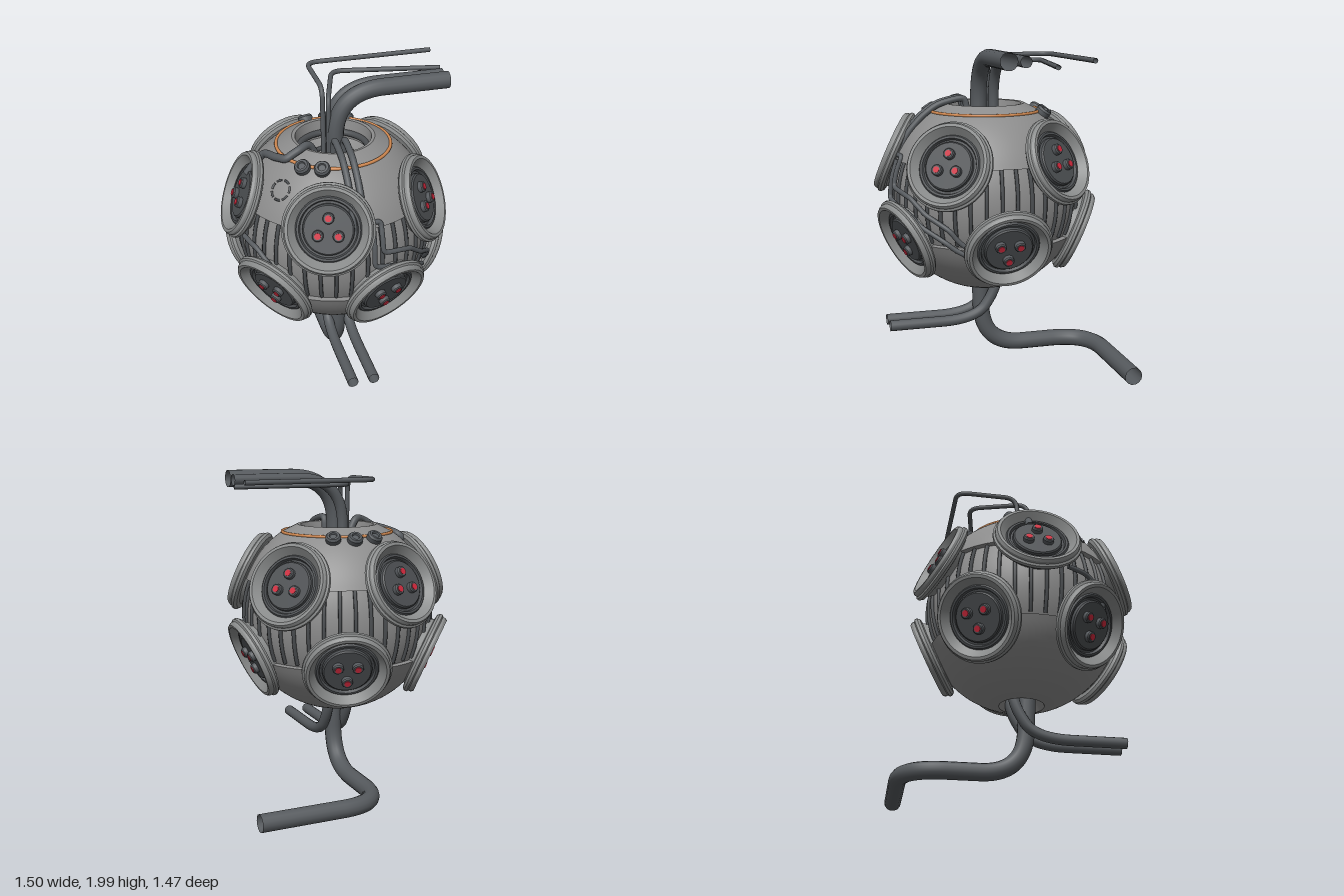
import * as THREE from 'three';
import { toCreasedNormals } from 'three/addons/utils/BufferGeometryUtils.js';

const V = (x, y, z) => new THREE.Vector3(x, y, z);
const C = V(-0.05, 1.09, 0.04); // centre of the sphere
const R = 0.622;

export function createModel() {
  const model = new THREE.Group();
  model.name = 'cableSphere';
  const mat = (name, color, side = THREE.FrontSide) => {
    const m = new THREE.MeshStandardMaterial({ color, side });
    m.name = name;
    return m;
  };
  const shell = mat('shell grey', 0x8c8c8c, THREE.DoubleSide);
  const rimGrey = mat('rim grey', 0x8a8c8c);
  const pipe = mat('pipe grey', 0x565a5e, THREE.DoubleSide);
  const dark = mat('dark grey', 0x4c4f52);
  const red = mat('red', 0xd0283c);
  const orange = mat('orange', 0xd08850);

  const add = (name, geo, material, parent = model) => {
    const m = new THREE.Mesh(geo, material);
    m.name = name;
    parent.add(m);
    return m;
  };
  const lathe = (pts, seg = 64) => toCreasedNormals(
    new THREE.LatheGeometry(pts.map(p => new THREE.Vector2(p[0], p[1])), seg), 0.5);

  // Tube through corner points with rounded bends
  const tube = (name, pts, r, bend, segs = 90, parent = model) => {
    const path = new THREE.CurvePath();
    let from = pts[0];
    const line = to => { if (from.distanceTo(to) > 1e-4) path.add(new THREE.LineCurve3(from, to)); };
    for (let i = 1; i < pts.length - 1; i++) {
      const p = pts[i];
      const cut = q => {
        const d = p.distanceTo(q);
        return p.clone().lerp(q, Math.min(bend, d * 0.49) / d);
      };
      const a = cut(pts[i - 1]), b = cut(pts[i + 1]);
      line(a);
      path.add(new THREE.QuadraticBezierCurve3(a, p, b));
      from = b;
    }
    line(pts[pts.length - 1]);
    return add(name, new THREE.TubeGeometry(path, segs, r, 14), pipe, parent);
  };

  // Points lying on the sphere, seen from the front (x, y) or from the top (x, z)
  const onFront = (x, y, r = R) => V(x, y,
    C.z + Math.sqrt(Math.max(0, r * r - (x - C.x) ** 2 - (y - C.y) ** 2)));
  const onTop = (x, z, r = R) => V(x,
    C.y + Math.sqrt(Math.max(0, r * r - (x - C.x) ** 2 - (z - C.z) ** 2)), z);
  const surfacePath = (pts, project) => {
    const out = [];
    pts.forEach((p, i) => {
      if (i) out.push(project((p[0] + pts[i - 1][0]) / 2, (p[1] + pts[i - 1][1]) / 2));
      out.push(project(p[0], p[1]));
    });
    return out;
  };

  // Shell: lower cap, recessed band, upper cap and the bowl in the top
  const arc = (r, y0, y1, n) => Array.from({ length: n + 1 }, (_, i) => {
    const a = THREE.MathUtils.lerp(Math.asin(y0 / r), Math.asin(y1 / r), i / n);
    return [r * Math.cos(a), r * Math.sin(a)];
  });
  const body = add('shell', lathe([
    [0.10, -0.54], [0.14, -0.607],
    ...arc(R, -0.606, -0.25, 14),
    ...arc(0.592, -0.245, 0.225, 14),
    ...arc(R, 0.23, 0.515, 12),
    [0.25, 0.565], [0.23, 0.562], [0.21, 0.45], [0.17, 0.42], [0.10, 0.40], [0.10, 0.25], [0.001, 0.25],
  ], 80), shell);
  body.position.copy(C);

  const ring = (name, r, t, y, m) => {
    const g = new THREE.TorusGeometry(r, t, 10, 72).rotateX(Math.PI / 2);
    add(name, g, m).position.set(C.x, y, C.z);
  };
  ring('orangeRing', 0.345, 0.01, 1.608, orange);
  ring('bowlRing', 0.208, 0.02, 1.575, dark);
  ring('bowlInnerRing', 0.14, 0.014, 1.505, dark);

  // Ribs of the recessed band
  const ribs = new THREE.Group();
  ribs.name = 'bandRibs';
  ribs.position.copy(C);
  model.add(ribs);
  const half = 0.395;
  const ribGeo = new THREE.TorusGeometry(0.597, 0.012, 6, 12, half * 2).rotateZ(-half);
  for (let i = 0; i < 40; i++) {
    add('rib', ribGeo, dark, ribs).rotation.y = (i + 0.5) / 40 * Math.PI * 2;
  }

  // Lamp discs: two staggered rows of five
  const rimGeo = lathe([
    [0.20, 0.53], [0.225, 0.585], [0.255, 0.59], [0.27, 0.605], [0.27, 0.622], [0.258, 0.63],
    [0.258, 0.645], [0.248, 0.66], [0.23, 0.66], [0.19, 0.612], [0.18, 0.60],
  ], 48).rotateX(Math.PI / 2);
  const plateGeo = lathe([
    [0.195, 0.608], [0.183, 0.622], [0.17, 0.622], [0.163, 0.604], [0.15, 0.604], [0.148, 0.622],
    [0.14, 0.63], [0.0001, 0.63],
  ], 48).rotateX(Math.PI / 2);
  const boltGeo = lathe([[0.033, 0], [0.033, 0.024], [0.027, 0.03], [0.0001, 0.03]], 20).rotateX(Math.PI / 2);
  const lightGeo = new THREE.CylinderGeometry(0.019, 0.019, 0.008, 16).rotateX(Math.PI / 2);
  const tilt = THREE.MathUtils.degToRad(23.5);
  for (const up of [1, -1]) {
    for (let i = 0; i < 5; i++) {
      const a = i * Math.PI * 0.4 + (up > 0 ? Math.PI : 0);
      const disc = new THREE.Group();
      disc.name = up > 0 ? 'upperLamp' : 'lowerLamp';
      disc.position.copy(C);
      disc.lookAt(C.clone().add(V(
        Math.cos(a) * Math.cos(tilt), up * Math.sin(tilt), Math.sin(a) * Math.cos(tilt))));
      model.add(disc);
      add('lampRim', rimGeo, rimGrey, disc);
      add('lampPlate', plateGeo, dark, disc);
      for (let k = 0; k < 3; k++) {
        const b = up * Math.PI / 2 + k * Math.PI * 2 / 3;
        const x = Math.cos(b) * 0.068, y = Math.sin(b) * 0.068;
        add('lampBolt', boltGeo, pipe, disc).position.set(x, y, 0.63);
        add('lampLight', lightGeo, red, disc).position.set(x, y, 0.66);
      }
    }
  }

  // Pipes leaving the top
  tube('topLargePipe', [V(-0.05, 1.35, 0.08), V(-0.05, 1.948, 0.08), V(0.65, 1.948, 0.08)], 0.052, 0.3);
  tube('topMediumPipe', [V(-0.06, 1.35, -0.02), V(-0.06, 1.945, -0.02), V(0.65, 1.945, -0.02)], 0.034, 0.3);
  tube('topThinPipeA', [V(-0.105, 1.35, 0.03), V(-0.105, 1.945, 0.0), V(-0.105, 1.95, -0.4),
    V(0.71, 1.95, -0.405)], 0.015, 0.08);
  tube('topThinPipeB', [V(-0.09, 1.35, 0.09), V(-0.09, 1.915, 0.08), V(0.03, 1.92, -0.3),
    V(0.7, 1.915, -0.19)], 0.015, 0.08);

  // Pipes leaving the bottom
  tube('bottomLargePipe', [V(-0.035, 0.65, 0.08), V(-0.035, 0.06, 0.06), V(-0.035, 0.06, -0.68),
    V(0.75, 0.06, -0.68)], 0.054, 0.27, 120);
  for (const x of [-0.1, 0.035]) {
    tube('bottomSmallPipe', [V(x * 0.9, 0.62, -0.03), V(x, 0.45, -0.01), V(x, 0.265, 0.12),
      V(x, 0.265, 0.68)], 0.034, 0.22);
  }

  // Twin pipes running from the bowl over its lip and down the front
  for (const x of [-0.08, -0.02]) {
    tube('lipPipe', [V(x, 1.5, 0.15), V(x, 1.69, 0.17), V(x, 1.685, 0.23), onTop(x, 0.35, 0.645),
      onTop(x, 0.45, 0.64), onTop(x, 0.54, 0.635), onFront(x, 1.3, 0.61)], 0.02, 0.05);
  }

  // Conduits lying on the shell
  const front = (x, y) => onFront(x, y, 0.628);
  tube('frontConduitA', surfacePath([[-0.02, 1.355], [0.08, 1.355], [0.085, 1.17], [0.2, 1.15], [0.27, 1.13],
    [0.46, 0.96], [0.48, 0.83]], front), 0.015, 0.03, 120);
  tube('frontConduitB', surfacePath([[0.03, 1.33], [0.03, 1.09], [0.16, 1.06], [0.24, 1.04], [0.42, 0.88],
    [0.46, 0.78], [0.39, 0.62]], front), 0.015, 0.03, 120);
  tube('sideConduit', surfacePath([[-0.65, 1.15], [-0.6, 1.13], [-0.53, 1.04], [-0.5, 0.95]], front), 0.015, 0.03);
  tube('upperConduit', [...surfacePath([[-0.58, 0], [-0.47, 0.0], [-0.43, 0.12], [-0.38, 0.2], [-0.29, 0.19]],
    (x, z) => onTop(x, z, 0.64)), V(-0.23, 1.675, 0.15), V(-0.19, 1.6, 0.14)], 0.024, 0.04, 120);

  // Knobs beside the orange ring
  const knobGeo = lathe([[0.042, -0.02], [0.047, 0], [0.047, 0.025], [0.038, 0.038], [0.024, 0.038],
    [0.02, 0.028], [0.0001, 0.028]], 24).rotateX(Math.PI / 2);
  for (const [x, z] of [[-0.3, 0.3], [-0.2, 0.36], [-0.13, -0.32], [0, -0.33], [0.12, -0.285]]) {
    const p = onTop(x, z);
    const knob = add('knob', knobGeo, pipe);
    knob.position.copy(p);
    knob.lookAt(p.clone().multiplyScalar(2).sub(C));
  }

  // Round vent made of short dashes
  const vent = new THREE.Group();
  vent.name = 'vent';
  const vp = onTop(-0.44, 0.32);
  vent.position.copy(vp);
  vent.lookAt(vp.clone().multiplyScalar(2).sub(C));
  model.add(vent);
  const dashGeo = new THREE.TorusGeometry(0.06, 0.007, 6, 6, 0.65);
  for (let i = 0; i < 7; i++) add('ventDash', dashGeo, dark, vent).rotation.z = i * Math.PI * 2 / 7;

  return model;
}
